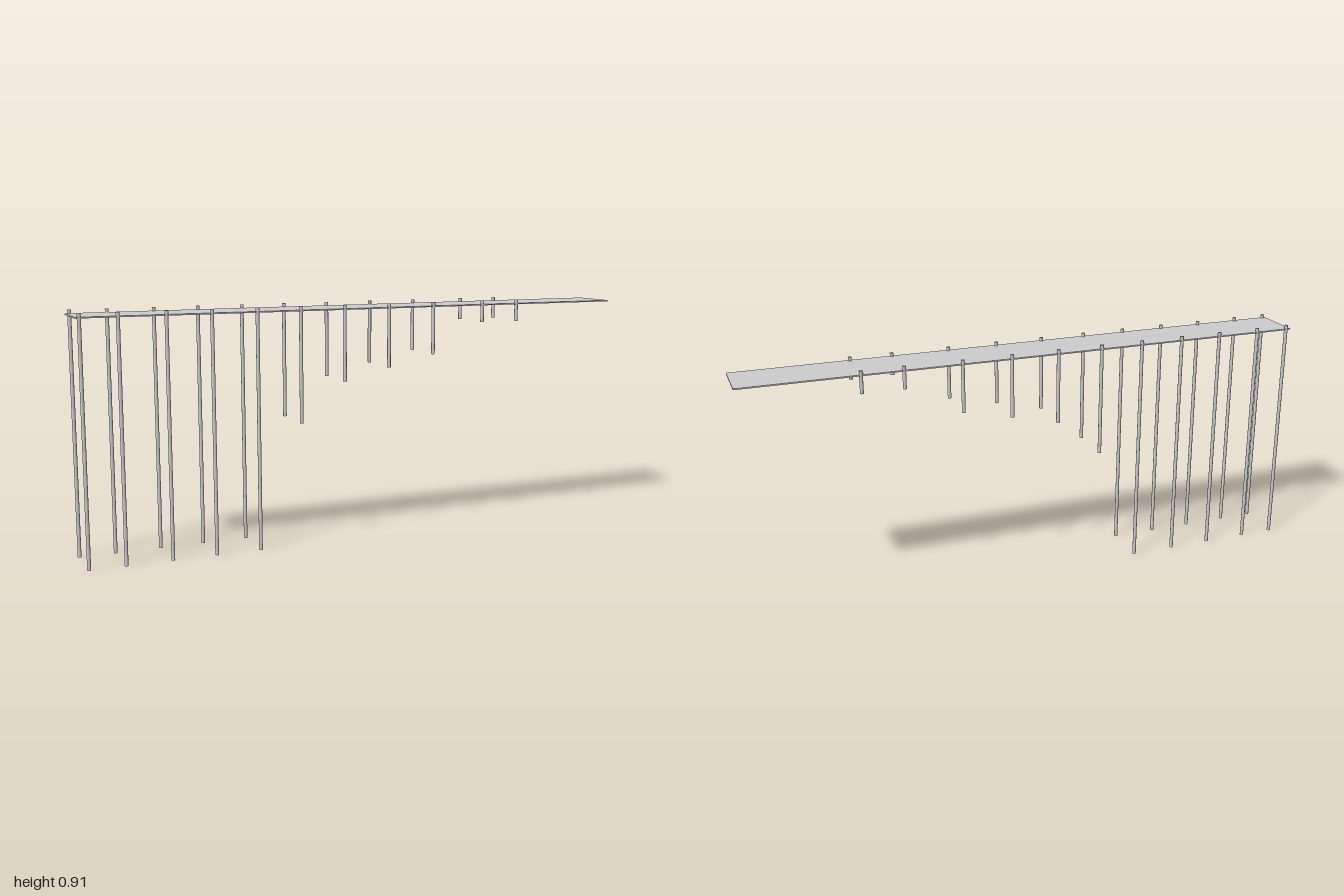
import * as THREE from 'three';

export function createModel() {
  const model = new THREE.Group();
  model.name = 'pier';
  const material = new THREE.MeshStandardMaterial({ color: 0xcccccc });

  // Built along local z, then turned diagonally
  const pier = new THREE.Group();
  pier.name = 'pierStructure';
  pier.rotation.y = -Math.PI / 6;
  model.add(pier);

  // Thin walkway
  const deck = new THREE.Mesh(new THREE.BoxGeometry(0.193, 0.005, 2.198), material);
  deck.name = 'deck';
  deck.position.y = 0.892;
  pier.add(deck);

  // Pairs of piles: [position along the deck, foot height], feet rising with the shore
  const pileTop = 0.908;
  const pairs = [
    [1.083, 0], [0.95, 0], [0.779, 0], [0.613, 0], [0.442, 0], [0.273, 0.47],
    [0.096, 0.618], [-0.089, 0.663], [-0.28, 0.705], [-0.499, 0.823], [-0.656, 0.823],
  ];
  pairs.forEach(([z, foot], i) => {
    const height = pileTop - foot;
    const geometry = new THREE.CylinderGeometry(0.007, 0.007, height, 12);
    for (const side of [-1, 1]) {
      const pile = new THREE.Mesh(geometry, material);
      pile.name = `${side > 0 ? 'left' : 'right'}Pile${i + 1}`;
      pile.position.set(side * 0.0895, foot + height / 2, z);
      pier.add(pile);
    }
  });

  return model;
}
